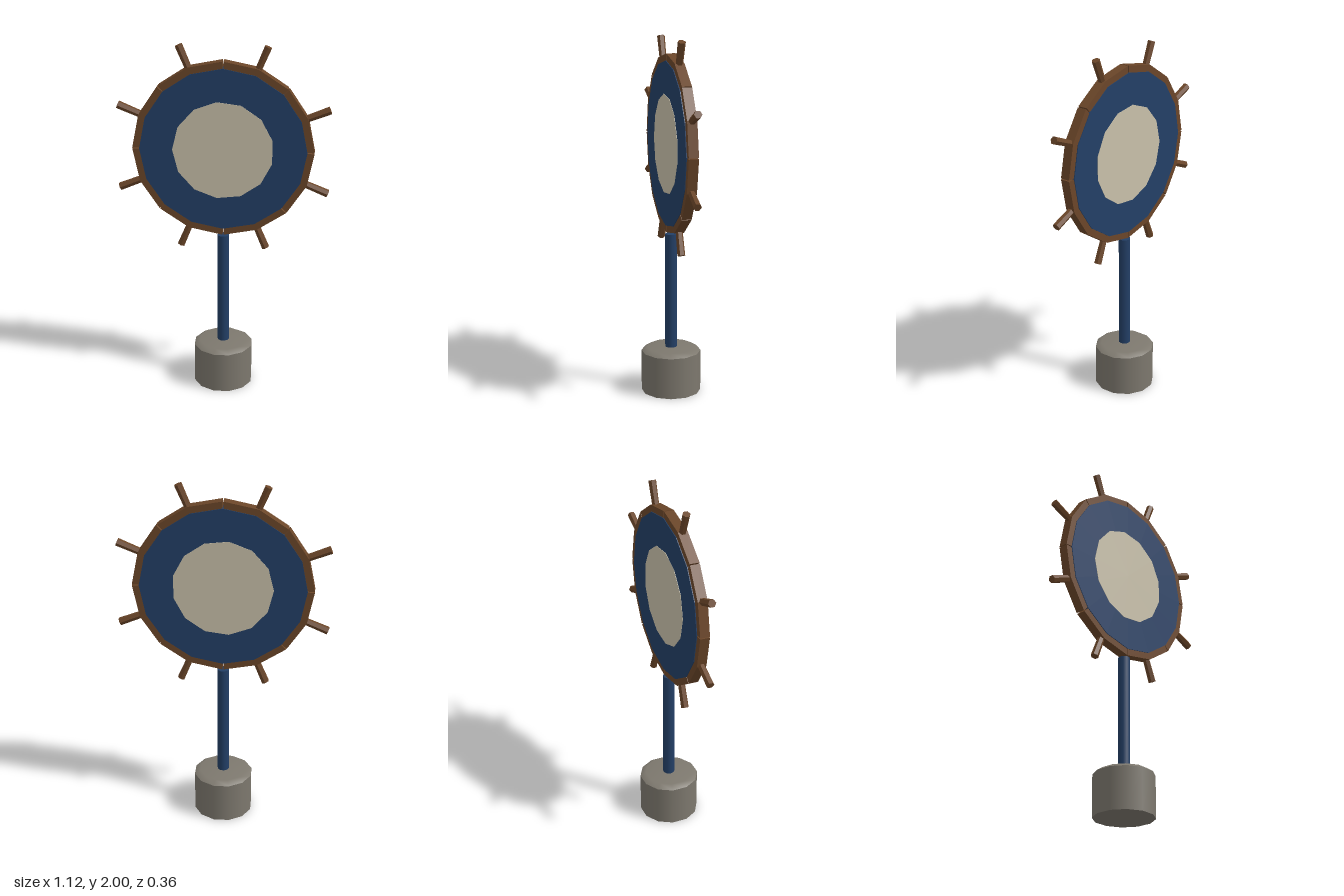
import * as THREE from 'three';

const mat = (color, flat = true) => new THREE.MeshStandardMaterial({ color, flatShading: flat });
const navy = mat(0x233f66), wood = mat(0x6b4629), cream = mat(0xc8c0aa);
const navySmooth = mat(0x233f66, false), stone = mat(0x7d786e, false);

function add(parent, name, geometry, material) {
  const mesh = new THREE.Mesh(geometry, material);
  mesh.name = name;
  parent.add(mesh);
  return mesh;
}

// Disc lying in the xy plane, facing z
function disc(radius, depth, sides, start) {
  return new THREE.CylinderGeometry(radius, radius, depth, sides, 1, false, start).rotateX(Math.PI / 2);
}

// One rim board: an eighth of the ring, bent once in the middle
function rimBoard(inner, outer, depth) {
  const gap = 0.006, angles = [gap, Math.PI / 8, Math.PI / 4 - gap];
  const at = (r) => (a) => new THREE.Vector2(r * Math.cos(a), r * Math.sin(a));
  const points = [...angles.map(at(outer)), ...angles.slice().reverse().map(at(inner))];
  return new THREE.ExtrudeGeometry(new THREE.Shape(points), { depth, bevelEnabled: false })
    .translate(0, 0, -depth / 2);
}

export function createModel() {
  const model = new THREE.Group();
  model.name = 'wheelSign';

  // Stone base with a sloped shoulder
  const base = new THREE.Group();
  base.name = 'base';
  model.add(base);
  add(base, 'baseBlock', new THREE.CylinderGeometry(0.168, 0.168, 0.235, 12), stone).position.y = 0.1175;
  const shoulder = [[0.168, 0.235], [0.135, 0.256], [0, 0.258]].map(([x, y]) => new THREE.Vector2(x, y));
  add(base, 'baseShoulder', new THREE.LatheGeometry(shoulder, 12), stone);

  // Post
  add(model, 'post', new THREE.CylinderGeometry(0.033, 0.033, 0.675, 10), navySmooth).position.y = 0.5775;

  // Wheel, turned about the post
  const wheel = new THREE.Group();
  wheel.name = 'wheel';
  wheel.position.y = 1.42;
  wheel.rotation.y = -0.285;
  model.add(wheel);
  add(wheel, 'panel', disc(0.457, 0.062, 16, 0), navy);
  add(wheel, 'emblemDisc', disc(0.276, 0.066, 13, -Math.PI / 2), cream);

  // Rim boards and handles, one of each per eighth
  const board = rimBoard(0.43, 0.495, 0.054);
  const handle = new THREE.CylinderGeometry(0.022, 0.019, 0.18, 6).translate(0, 0.53, 0);
  for (let i = 0; i < 8; i++) {
    const turn = i * Math.PI / 4;
    add(wheel, 'rimBoard', board, wood).rotation.z = turn;
    add(wheel, 'handle', handle, wood).rotation.z = turn + Math.PI / 8;
  }
  return model;
}
